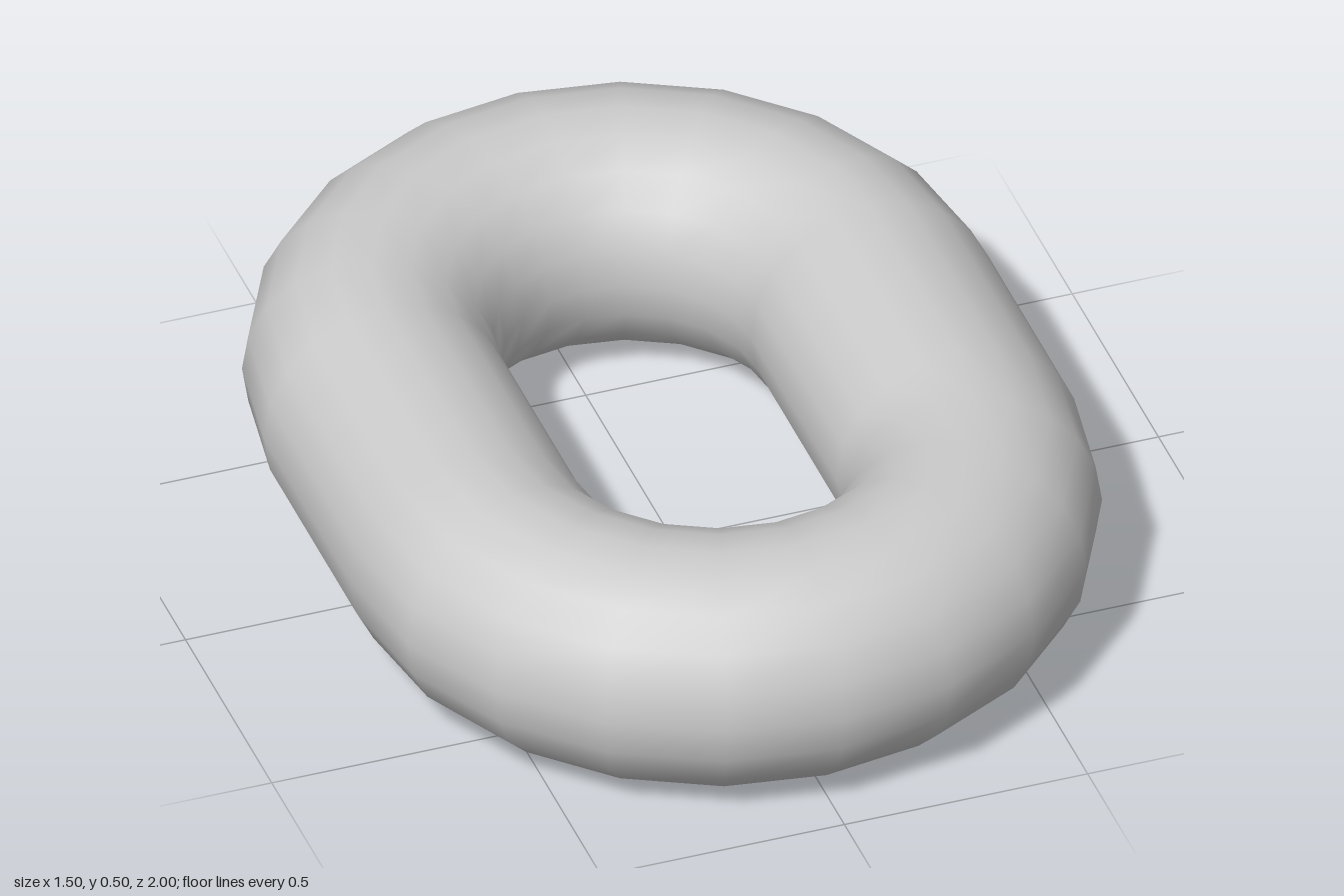
import * as THREE from 'three';

const BEND = 0.5;      // centreline radius of the rounded ends
const TUBE = 0.25;     // radius of the round bar
const STRAIGHT = 0.5;  // length of the straight sides
const SIDES = 20;      // facets around the bar

export function createModel() {
  const link = new THREE.Group();
  link.name = 'chainLink';
  const material = new THREE.MeshStandardMaterial({ color: 0xcccccc });

  const add = (name, geometry, x, z) => {
    const mesh = new THREE.Mesh(geometry, material);
    mesh.name = name;
    mesh.position.set(x, TUBE, z);
    link.add(mesh);
  };

  // Half-torus ends, front and back
  for (const [name, s] of [['frontBend', 1], ['backBend', -1]]) {
    const bend = new THREE.TorusGeometry(BEND, TUBE, SIDES, SIDES / 2, Math.PI);
    bend.rotateX(s * Math.PI / 2);
    add(name, bend, 0, s * STRAIGHT / 2);
  }

  // Straight bars joining the ends
  for (const [name, s] of [['leftBar', 1], ['rightBar', -1]]) {
    const bar = new THREE.CylinderGeometry(TUBE, TUBE, STRAIGHT, SIDES, 1, true);
    bar.rotateX(Math.PI / 2);
    add(name, bar, s * BEND, 0);
  }

  return link;
}
